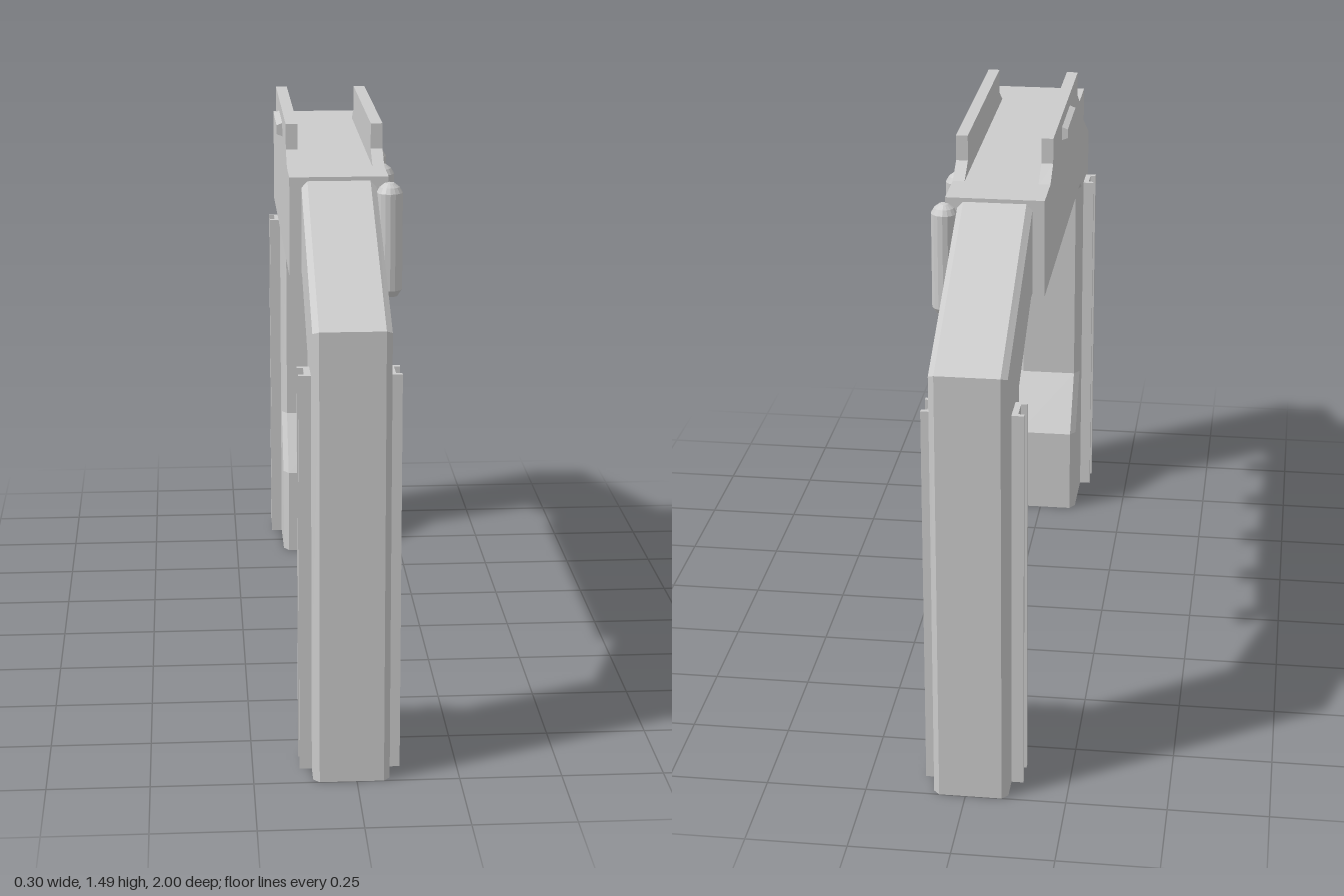
import * as THREE from 'three';

const material = new THREE.MeshStandardMaterial({ color: 0xcccccc, flatShading: true });

function add(parent, name, geometry, x = 0, y = 0, z = 0) {
  const mesh = new THREE.Mesh(geometry, material);
  mesh.name = name;
  mesh.position.set(x, y, z);
  parent.add(mesh);
  return mesh;
}

// Chamfered cross-sections lofted from one foot, over the span, to the other foot
function archGeometry() {
  const half = [ // outer z, y, inner z, y
    [1, 0, 0.65, 0],
    [1, 0.25, 0.65, 0.25],
    [1, 0.41, 0.755, 0.41],
    [1, 1.125, 0.755, 1.0],
    [0.5, 1.38, 0.525, 1.125],
  ];
  const stations = [...half, ...half.map(([a, b, c, d]) => [-a, b, -c, d]).reverse()];
  const w = 0.093, n = 0.078;
  const rings = stations.map(([oz, oy, iz, iy]) => {
    const o = new THREE.Vector2(oz, oy), i = new THREE.Vector2(iz, iy);
    const dir = i.clone().sub(o).normalize();
    const o2 = o.clone().addScaledVector(dir, 0.016);
    const i2 = i.clone().addScaledVector(dir, -0.022);
    return [[-n, o], [n, o], [w, o2], [w, i2], [n, i], [-n, i], [-w, i2], [-w, o2]]
      .map(([x, p]) => [x, p.y, p.x]);
  });
  const pos = [];
  const tri = (a, b, c) => pos.push(...a, ...b, ...c);
  for (let s = 0; s < rings.length - 1; s++) {
    const a = rings[s], b = rings[s + 1];
    for (let k = 0; k < 8; k++) {
      const m = (k + 1) % 8;
      tri(a[k], a[m], b[m]);
      tri(a[k], b[m], b[k]);
    }
  }
  const first = rings[0], last = rings[rings.length - 1];
  for (let k = 1; k < 7; k++) {
    tri(first[0], first[k + 1], first[k]);
    tri(last[0], last[k], last[k + 1]);
  }
  const g = new THREE.BufferGeometry();
  g.setAttribute('position', new THREE.Float32BufferAttribute(pos, 3));
  g.computeVertexNormals();
  return g;
}

// Side wall standing on the housing, drawn in z and y
function wallGeometry() {
  const shape = new THREE.Shape([
    [-0.38, 1.385], [0.38, 1.385], [0.31, 1.425], [0.31, 1.49], [-0.31, 1.49], [-0.31, 1.425],
  ].map(p => new THREE.Vector2(...p)));
  const g = new THREE.ExtrudeGeometry(shape, { depth: 0.03, bevelEnabled: false });
  return g.translate(0, 0, -0.015).rotateY(-Math.PI / 2);
}

// Bar with its outer face narrowed
function handleGeometry(side) {
  const g = new THREE.BoxGeometry(0.016, 0.036, 0.2);
  const p = g.attributes.position;
  for (let i = 0; i < p.count; i++) {
    if (p.getX(i) * side > 0) p.setY(i, p.getY(i) * 0.65);
  }
  g.computeVertexNormals();
  return g;
}

export function createModel() {
  const model = new THREE.Group();
  model.name = 'archGate';
  const body = new THREE.Group();
  body.name = 'gateBody';
  body.position.x = -0.0125;
  model.add(body);

  add(body, 'arch', archGeometry());
  add(body, 'topHousing', new THREE.BoxGeometry(0.246, 0.252, 1), 0, 1.264, 0);

  for (const side of [-1, 1]) {
    add(body, 'topWall', wallGeometry(), side * 0.108, 0, 0);
    add(body, 'wallHandle', handleGeometry(side), side * 0.13, 1.44, 0);

    // Channel tracks on both faces of each leg
    for (const end of [-1, 1]) {
      const track = new THREE.Group();
      track.name = 'legTrack';
      track.position.set(side * 0.09, 0.5, end * 0.88);
      add(track, 'trackWeb', new THREE.BoxGeometry(0.024, 1, 0.07), side * 0.006, 0, 0);
      for (const f of [-1, 1]) {
        add(track, 'trackFlange', new THREE.BoxGeometry(0.033, 1, 0.012), side * 0.0165, 0, f * 0.035);
      }
      body.add(track);
    }
  }

  // Row of upright rods along the left face
  const rodProfile = [[0, 1.088], [0.022, 1.088], [0.033, 1.105], [0.033, 1.35], [0.025, 1.364], [0.012, 1.374], [0, 1.376]]
    .map(p => new THREE.Vector2(...p));
  for (let i = -2; i <= 2; i++) {
    add(body, 'rod', new THREE.LatheGeometry(rodProfile, 16), 0.1255, 0, i * 0.25);
  }
  return model;
}
